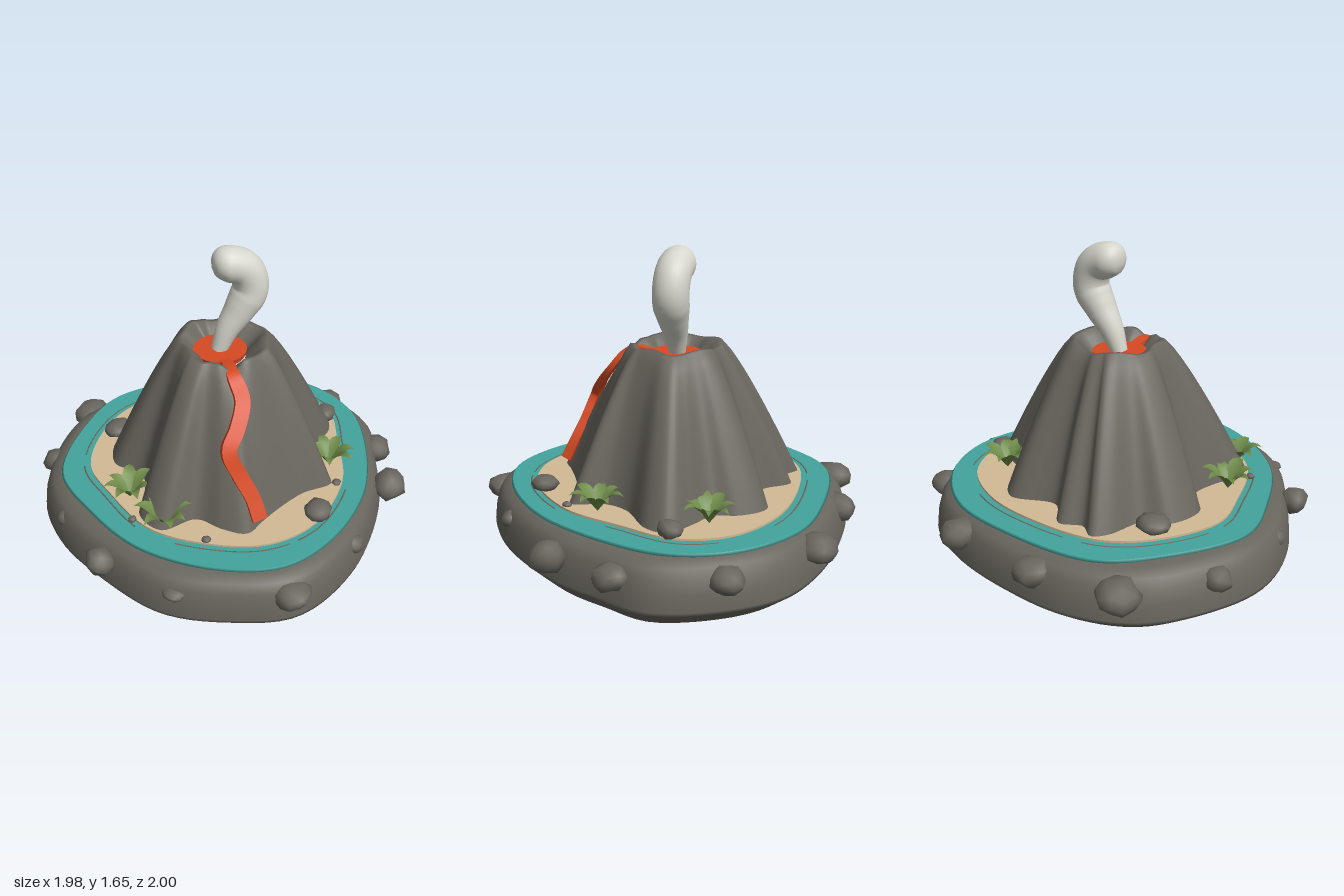
import * as THREE from 'three';
import { mergeVertices } from 'three/addons/utils/BufferGeometryUtils.js';

const mat = (name, color, side = THREE.FrontSide) => {
  const m = new THREE.MeshStandardMaterial({ color, side });
  m.name = name;
  return m;
};

// Seeded random numbers
let seed = 7;
const rnd = () => { seed = (seed * 16807) % 2147483647; return seed / 2147483647; };

// Smooth closed outline (x, z pairs), ordered by angle
function outline(flat, n) {
  const pts = [];
  for (let i = 0; i < flat.length; i += 2) pts.push(new THREE.Vector3(flat[i], 0, flat[i + 1]));
  pts.sort((a, b) => Math.atan2(a.z, a.x) - Math.atan2(b.z, b.x));
  return new THREE.CatmullRomCurve3(pts, true, 'centripetal').getSpacedPoints(n).slice(0, n);
}

// Skin a stack of closed rings, running from bottom to top
function loft(rings) {
  const n = rings[0].length, pos = [], idx = [];
  rings.forEach(r => r.forEach(p => pos.push(p.x, p.y, p.z)));
  for (let j = 0; j < rings.length - 1; j++) for (let i = 0; i < n; i++) {
    const a = j * n + i, b = j * n + (i + 1) % n, c = a + n, d = b + n;
    idx.push(a, c, b, b, c, d);
  }
  const g = new THREE.BufferGeometry();
  g.setAttribute('position', new THREE.Float32BufferAttribute(pos, 3));
  g.setIndex(idx);
  g.computeVertexNormals();
  return g;
}
const stack = (pts, profile) => loft(profile.map(([s, y]) => pts.map(p => new THREE.Vector3(p.x * s, y, p.z * s))));
const slab = (pts, y0, y1) => stack(pts, [[0.01, y0], [1, y0], [1, y0], [1, y1], [1, y1], [0.01, y1]]);

// Rounded irregular stone
function rockGeometry() {
  let g = new THREE.IcosahedronGeometry(1, 1);
  g.deleteAttribute('uv');
  g.deleteAttribute('normal');
  g = mergeVertices(g, 1e-3);
  const p = g.attributes.position, v = new THREE.Vector3();
  for (let i = 0; i < p.count; i++) {
    v.fromBufferAttribute(p, i).multiplyScalar(0.85 + rnd() * 0.25);
    p.setXYZ(i, v.x, v.y, v.z);
  }
  g.computeVertexNormals();
  return g;
}

// Arched leaf with a folded midrib
function leafGeometry() {
  const g = new THREE.PlaneGeometry(2, 1, 2, 6), p = g.attributes.position;
  for (let i = 0; i < p.count; i++) {
    const side = p.getX(i), s = p.getY(i) + 0.5;
    const w = 0.034 * Math.sin(Math.PI * Math.pow(s, 0.8)) + 0.003 * (1 - s);
    p.setXYZ(i, side * w, 0.105 * Math.sin(s * 2) + Math.abs(side) * w * 0.35, 0.145 * s);
  }
  g.computeVertexNormals();
  return g;
}

export function createModel() {
  const root = new THREE.Group();
  const rock = mat('rock grey', 0x69665e), sand = mat('sand', 0xd2ba95), water = mat('water teal', 0x43a39c);
  const lava = mat('lava orange', 0xd64a22), smoke = mat('smoke white', 0xd6d6cc);
  const leaf = mat('leaf green', 0x6f8c4a, THREE.DoubleSide), wet = mat('shoreline brown', 0x75685a);
  const add = (name, geo, m, parent = root) => {
    const mesh = new THREE.Mesh(geo, m);
    mesh.name = name;
    parent.add(mesh);
    return mesh;
  };

  // Rock base
  const basePts = outline([0.955, -0.24, 0.885, 0.03, 0.78, 0.31, 0.46, 0.72, 0.08, 0.93, -0.26, 0.87, -0.56, 0.72, -0.8, 0.4,
    -0.95, 0.1, -0.995, -0.19, -0.93, -0.45, -0.72, -0.78, -0.4, -0.94, 0, -0.96, 0.35, -0.91, 0.62, -0.8, 0.82, -0.58], 96);
  add('rockBase', stack(basePts, [[0.01, 0], [0.6, 0.003], [0.87, 0.03], [0.88, 0.035], [0.995, 0.13], [1, 0.15], [0.99, 0.23],
    [0.97, 0.3], [0.94, 0.34], [0.89, 0.365], [0.8, 0.37], [0.01, 0.37]]), rock);

  // Lagoon and beach
  const waterPts = outline([-0.89, -0.19, -0.8, 0.16, -0.61, 0.51, -0.29, 0.75, 0.03, 0.83, 0.32, 0.72, 0.62, 0.43, 0.79, 0.05,
    0.84, -0.29, 0.72, -0.59, 0.43, -0.82, 0.08, -0.88, -0.45, -0.82, -0.69, -0.59], 96);
  add('water', stack(waterPts, [[0.01, 0.368], [0.975, 0.37], [1, 0.382], [0.99, 0.394], [0.99, 0.394], [0.01, 0.394]]), water);
  const sandPts = outline([-0.73, -0.19, -0.67, 0.08, -0.53, 0.4, -0.27, 0.59, 0, 0.67, 0.27, 0.6, 0.54, 0.32, 0.64, 0,
    0.7, -0.29, 0.59, -0.53, 0.35, -0.68, 0.08, -0.73, -0.37, -0.68, -0.58, -0.51], 96);
  add('beach', slab(sandPts, 0.38, 0.405), sand);

  // Broken ripple lines beside the beach
  for (const [from, count] of [[2, 13], [17, 13], [37, 12], [56, 10], [67, 12], [84, 12]]) {
    const arc = [];
    for (let i = 0; i <= count; i++) {
      const p = sandPts[(from + i) % 96];
      arc.push(new THREE.Vector3(p.x * 1.045, 0.393, p.z * 1.045));
    }
    add('shoreRipple', new THREE.TubeGeometry(new THREE.CatmullRomCurve3(arc), 24, 0.004, 5), wet);
  }

  // Ridged mountain, blending from its lobed foot to a round rim, then down into the crater
  const foot = outline([-0.33, -0.68, -0.24, -0.63, -0.13, -0.68, 0.01, -0.55, 0.24, -0.63, 0.36, -0.52, 0.4, -0.4, 0.53, -0.33,
    0.66, -0.25, 0.64, -0.13, 0.47, 0.03, 0.43, 0.16, 0.48, 0.32, 0.3, 0.36, 0.14, 0.44, 0.03, 0.51, -0.07, 0.575, -0.18, 0.51,
    -0.29, 0.4, -0.48, 0.43, -0.56, 0.29, -0.5, 0.13, -0.48, -0.03, -0.6, -0.16, -0.56, -0.35, -0.44, -0.43, -0.39, -0.61], 180);
  const cx = -0.005, cz = -0.075;
  const rim = foot.map(p => {
    const a = Math.atan2(p.z - cz, p.x - cx), R = Math.hypot(p.x - cx, p.z - cz);
    const notch = Math.exp(-Math.pow((a - Math.PI / 2 - 0.08) / 0.22, 2));
    return { a, r: 0.235 + 0.12 * (R - 0.58), y: 1.15 + 0.01 * Math.sin(a * 5) - 0.055 * notch };
  });
  const rings = [];
  for (let k = 0; k <= 14; k++) {
    const u = 1 - k / 14, t = Math.pow(u, 0.84);
    rings.push(foot.map((p, i) => {
      const q = rim[i], x = cx + Math.cos(q.a) * q.r, z = cz + Math.sin(q.a) * q.r;
      return new THREE.Vector3(x + (p.x - x) * t, q.y + (0.4 - q.y) * u, z + (p.z - z) * t);
    }));
  }
  for (const [s, drop] of [[0.9, 0], [0.78, 0.03], [0.6, 0.07], [0.5, 0.1]])
    rings.push(rim.map(q => new THREE.Vector3(cx + Math.cos(q.a) * q.r * s, q.y - drop, cz + Math.sin(q.a) * q.r * s)));
  add('mountain', loft(rings), rock);

  // Lava pool and flow
  add('lavaPool', new THREE.CylinderGeometry(0.138, 0.13, 0.03, 40), lava).position.set(-0.025, 1.085, -0.075);
  const flow = new THREE.CatmullRomCurve3([[-0.03, 1.1, 0.03], [-0.03, 1.115, 0.13], [-0.03, 1.1, 0.2], [-0.01, 1.01, 0.28],
    [-0.06, 0.91, 0.365], [-0.12, 0.82, 0.425], [-0.075, 0.69, 0.47], [-0.025, 0.58, 0.515], [0, 0.47, 0.565]].map(p => new THREE.Vector3(...p)));
  const flowRings = [];
  for (let k = 0; k <= 48; k++) {
    const s = k / 48, p = flow.getPointAt(s), d = flow.getTangentAt(s);
    const side = new THREE.Vector3(1, 0, 0).addScaledVector(d, -d.x).normalize();
    const up = side.clone().cross(d).multiplyScalar(-1).normalize();
    const w = 0.026 + 0.012 * Math.min(1, s * 4), h = 0.02 + 0.035 * s;
    const at = (a, b) => p.clone().addScaledVector(side, a * w).addScaledVector(up, b);
    const c = [at(-1, -h), at(-1, 0), at(1, 0), at(1, -h)];
    flowRings.push([c[0], c[1], c[1].clone(), c[2], c[2].clone(), c[3], c[3].clone(), c[0].clone()]);
  }
  const shrink = r => {
    const m = r[0].clone().add(r[3]).multiplyScalar(0.5);
    return r.map(() => m.clone());
  };
  const last = flowRings[48].map(v => v.clone());
  const flowMat = lava;
  flowMat.side = THREE.DoubleSide;
  add('lavaFlow', loft([...flowRings, last, shrink(last)]), flowMat);

  // Curling smoke plume, widening upwards with a rounded end
  const path = new THREE.CatmullRomCurve3([[-0.03, 1.09, -0.08], [0.015, 1.2, -0.085], [0.085, 1.31, -0.09], [0.14, 1.42, -0.095],
    [0.11, 1.52, -0.097], [0.03, 1.56, -0.097], [-0.06, 1.555, -0.097]].map(p => new THREE.Vector3(...p)));
  const plume = new THREE.TubeGeometry(path, 60, 1, 24), pp = plume.attributes.position, v = new THREE.Vector3();
  for (let i = 0; i < pp.count; i++) {
    const s = Math.floor(i / 25) / 60, c = path.getPointAt(s), end = Math.max(0, (s - 0.87) / 0.13);
    const r = Math.min(0.092, 0.042 + 0.105 * s) * Math.sqrt(Math.max(0, 1 - end * end));
    v.fromBufferAttribute(pp, i).sub(c).multiplyScalar(r).add(c);
    pp.setXYZ(i, v.x, v.y, v.z);
  }
  plume.deleteAttribute('uv');
  plume.deleteAttribute('normal');
  const plumeSmooth = mergeVertices(plume, 1e-4);
  plumeSmooth.computeVertexNormals();
  add('smokePlume', plumeSmooth, smoke);

  // Stones: x, y, z, half width, half height
  const stones = [[-0.62, 0.28, -0.83, 0.11, 0.08], [-0.18, 0.28, -0.92, 0.1, 0.075], [0.35, 0.28, -0.9, 0.1, 0.075],
    [0.79, 0.28, -0.56, 0.09, 0.07], [0.9, 0.27, -0.05, 0.09, 0.07], [0.83, 0.285, 0.29, 0.095, 0.085], [0.06, 0.27, 0.9, 0.095, 0.065],
    [-0.89, 0.28, -0.44, 0.075, 0.06], [-0.8, 0.285, 0.43, 0.08, 0.07], [-0.49, 0.27, 0.73, 0.06, 0.03], [0.47, 0.275, 0.66, 0.055, 0.045],
    [-0.91, 0.275, 0.05, 0.05, 0.05], [-0.52, 0.435, -0.44, 0.085, 0.045], [0.66, 0.43, -0.26, 0.066, 0.045], [0.32, 0.43, 0.53, 0.075, 0.045],
    [-0.6, 0.41, 0.31, 0.022, 0.016], [-0.28, 0.41, 0.56, 0.025, 0.016], [0.5, 0.41, 0.33, 0.025, 0.016]];
  for (const [x, y, z, w, h] of stones) {
    const s = add(y < 0.4 ? 'baseStone' : 'beachStone', rockGeometry(), rock);
    s.position.set(x, y, z);
    s.scale.set(w, h, w);
    s.rotation.y = rnd() * 6;
  }

  // Leafy plants
  const leafGeo = leafGeometry();
  for (const [x, z, turn] of [[0.49, -0.4, 0], [0.52, 0.16, 0.5], [-0.575, 0.13, 0.2], [-0.45, 0.39, 0.8]]) {
    const plant = new THREE.Group();
    plant.name = 'plant';
    plant.position.set(x, 0.408, z);
    for (let i = 0; i < 7; i++) {
      const l = add('leaf', leafGeo, leaf, plant);
      l.rotation.y = turn + i * Math.PI * 2 / 7 + (rnd() - 0.5) * 0.25;
      l.scale.setScalar(0.88 + rnd() * 0.2);
    }
    root.add(plant);
  }
  return root;
}
